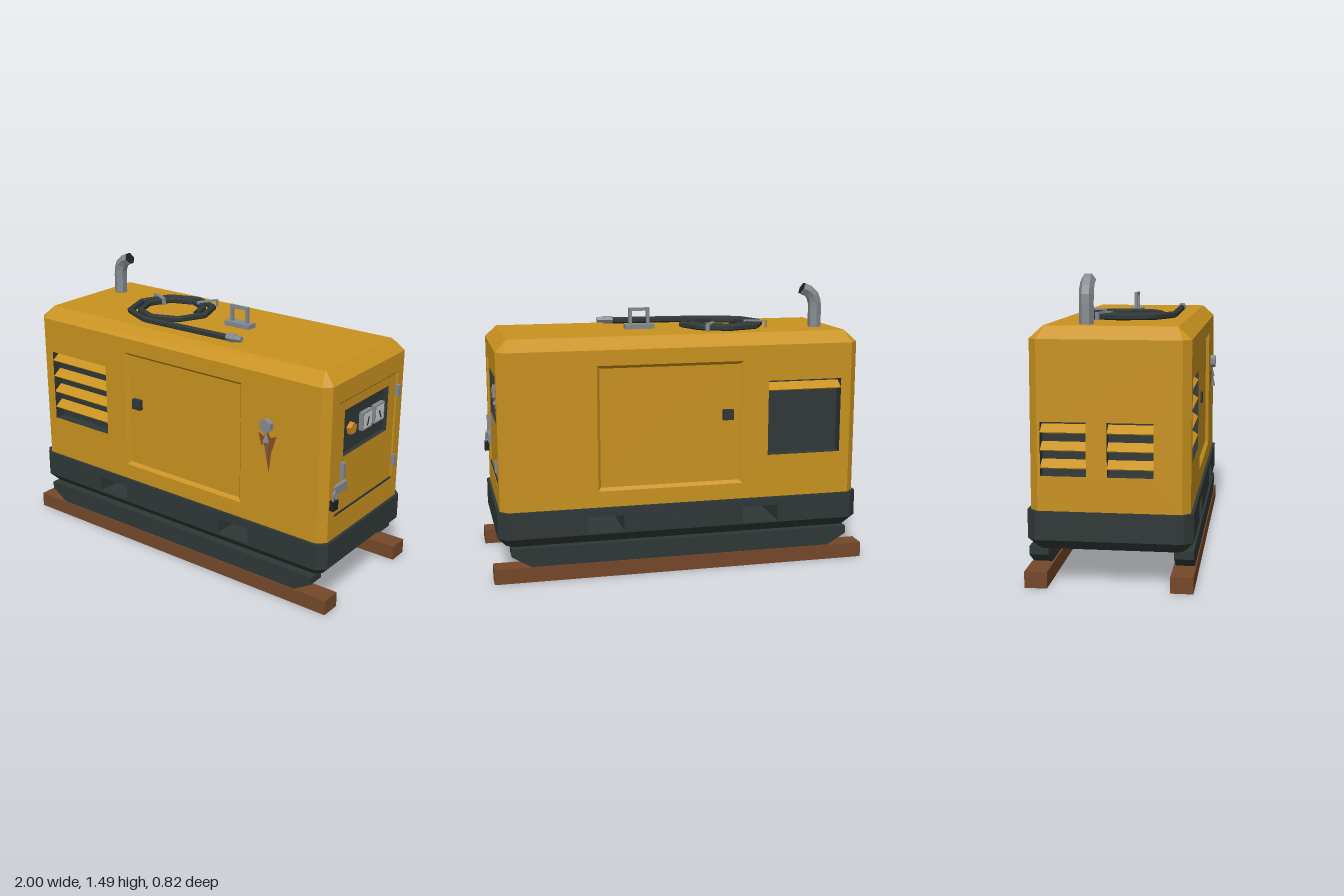
import * as THREE from 'three';

const mat = (name, color, flatShading = true) => {
  const m = new THREE.MeshStandardMaterial({ color });
  m.name = name;
  m.flatShading = flatShading;
  m.side = THREE.DoubleSide;
  return m;
};

export function createModel() {
  const yellow = mat('yellow paint', 0xc9921f), dark = mat('dark steel', 0x2f3837);
  const grey = mat('bare metal', 0x858b90), wood = mat('wood', 0x744829);
  const pale = mat('gauge face', 0xc9cdcb), rust = mat('rust', 0x854f2b);
  const black = mat('black', 0x1d2224), amber = mat('amber knob', 0xd08a1c);

  const model = new THREE.Group();
  const group = (name, parent = model) => {
    const g = new THREE.Group();
    g.name = name;
    parent.add(g);
    return g;
  };
  const add = (parent, name, geo, material, x = 0, y = 0, z = 0) => {
    const m = new THREE.Mesh(geo, material);
    m.name = name;
    m.position.set(x, y, z);
    parent.add(m);
    return m;
  };
  const box = (parent, name, material, w, h, d, x, y, z) =>
    add(parent, name, new THREE.BoxGeometry(w, h, d), material, x, y, z);
  const trianglesOf = (pts) => {
    const g = new THREE.BufferGeometry();
    g.setAttribute('position', new THREE.Float32BufferAttribute(pts.flat(), 3));
    g.computeVertexNormals();
    return g;
  };
  const quad = (a, b, c, d) => [a, b, c, a, c, d];

  // Rectangle with cut corners at height y; even edges are the flat sides
  const ring = (X, Z, c, y) => [[c - X, Z], [X - c, Z], [X, Z - c], [X, c - Z],
    [X - c, -Z], [c - X, -Z], [-X, c - Z], [-X, Z - c]].map(([x, z]) => [x, y, z]);
  const band = (a, b, edges) => edges.flatMap((i) => {
    const j = (i + 1) % 8;
    return quad(a[i], a[j], b[j], b[i]);
  });
  const cap = (r, up) => [1, 2, 3, 4, 5, 6].flatMap((i) => up ? [r[0], r[i], r[i + 1]] : [r[0], r[i + 1], r[i]]);
  const ALL = [0, 1, 2, 3, 4, 5, 6, 7];

  // Flat sheet [x0, x1, y0, y1] with rectangular holes
  const sheet = (parent, name, [x0, x1, y0, y1], z, material, holes = []) => {
    const path = (P, a, b, c, d) => new P([[a, c], [b, c], [b, d], [a, d]].map((p) => new THREE.Vector2(...p)));
    const shape = path(THREE.Shape, x0, x1, y0, y1);
    holes.forEach((h) => shape.holes.push(path(THREE.Path, ...h)));
    add(parent, name, new THREE.ShapeGeometry(shape), material, 0, 0, z);
  };
  // Sunken area: four walls and an optional floor
  const recess = (parent, name, r, z, depth, bevel, walls, floor, holes) => {
    const corners = ([x0, x1, y0, y1], k, zz) =>
      [[x0 + k, y0 + k, zz], [x1 - k, y0 + k, zz], [x1 - k, y1 - k, zz], [x0 + k, y1 - k, zz]];
    const o = corners(r, 0, z), n = corners(r, bevel, z - depth);
    add(parent, name + ' edge', trianglesOf([0, 1, 2, 3].flatMap((i) => {
      const j = (i + 1) % 4;
      return quad(o[i], o[j], n[j], n[i]);
    })), walls);
    if (floor) {
      sheet(parent, name, [r[0] + bevel, r[1] - bevel, r[2] + bevel, r[3] - bevel], z - depth, floor, holes);
    }
  };
  const vent = (parent, r, slats, pitch, top) => {
    recess(parent, 'vent', r, 0, 0.06, 0, dark, dark);
    for (let i = 0; i < slats; i++) {
      box(parent, 'louver', yellow, r[1] - r[0], 0.006, 0.06, (r[0] + r[1]) / 2, top - i * pitch, -0.027).rotation.x = 0.61;
    }
  };

  // Canopy shell
  const canopy = group('canopy');
  const lower = ring(0.96, 0.385, 0.04, 0.37), eave = ring(0.96, 0.385, 0.04, 1.19);
  const roof = ring(0.9, 0.32, 0.004, 1.25);
  add(canopy, 'corner posts', trianglesOf(band(lower, eave, [1, 3, 5, 7])), yellow);
  add(canopy, 'roof', trianglesOf([...band(eave, roof, ALL), ...cap(roof, true)]), yellow);

  const side = (name, x, z, turn) => {
    const g = group(name, canopy);
    g.position.set(x, 0, z);
    g.rotation.y = turn;
    return g;
  };
  // Long sides, each with a bevelled door and a vent
  for (const s of [1, -1]) {
    const g = side(s > 0 ? 'front side' : 'back side', 0, 0.385 * s, s > 0 ? 0 : Math.PI);
    const span = (a, b, c, d) => (s > 0 ? [a, b, c, d] : [-b, -a, c, d]);
    const door = span(-0.32, 0.455, 0.455, 1.11), opening = span(-0.865, -0.46, 0.6, 1);
    sheet(g, 'side panel', [-0.92, 0.92, 0.37, 1.19], 0, yellow, [door, opening]);
    recess(g, 'side door', door, 0, 0.018, 0.016, yellow, yellow);
    box(g, 'door latch', dark, 0.055, 0.055, 0.025, -0.24 * s, 0.828, -0.006);
    vent(g, opening, s > 0 ? 4 : 1, 0.094, 0.965);
  }

  // Left-hand air inlets on the plain end
  const inletEnd = side('inlet end', -0.96, 0, -Math.PI / 2);
  const inlets = [[-0.33, -0.11, 0.54, 0.8], [-0.01, 0.21, 0.54, 0.8]];
  sheet(inletEnd, 'end panel', [-0.345, 0.345, 0.37, 1.19], 0, yellow, inlets);
  inlets.forEach((r) => vent(inletEnd, r, 3, 0.085, 0.765));

  // Control end: door, instrument window and lock
  const end = side('control end', 0.96, 0, Math.PI / 2);
  const endDoor = [-0.287, 0.287, 0.486, 1.09], win = [-0.213, 0.215, 0.787, 1.032];
  sheet(end, 'end panel', [-0.345, 0.345, 0.37, 1.19], 0, yellow, [endDoor]);
  recess(end, 'control door', endDoor, 0, 0.01, 0, yellow, yellow, [win]);
  recess(end, 'instrument panel', win, -0.01, 0.025, 0, dark, dark);
  box(end, 'door gap', dark, 0.574, 0.01, 0.006, 0, 0.491, -0.006);
  box(end, 'door gap', dark, 0.574, 0.005, 0.006, 0, 1.088, -0.006);
  for (const [x, tilt] of [[0.018, -0.3], [0.138, 0.45]]) {
    box(end, 'gauge', grey, 0.095, 0.096, 0.024, x, 0.909, -0.023);
    box(end, 'gauge face', pale, 0.077, 0.078, 0.004, x, 0.909, -0.011);
    box(end, 'gauge needle', black, 0.007, 0.045, 0.003, x, 0.902, -0.008).rotation.z = tilt;
  }
  add(end, 'knob', new THREE.CylinderGeometry(0.033, 0.033, 0.025, 5).rotateX(Math.PI / 2).rotateZ(Math.PI),
    amber, -0.118, 0.905, -0.023);
  for (const y of [0.988, 0.595]) box(end, 'hinge', grey, 0.022, 0.062, 0.02, 0.291, y, 0.004);
  box(end, 'door handle', grey, 0.02, 0.085, 0.022, -0.228, 0.722, 0.002);
  box(end, 'hasp', grey, 0.115, 0.047, 0.018, -0.253, 0.637, 0.002);
  box(end, 'padlock', black, 0.044, 0.052, 0.024, -0.316, 0.571, 0.012);
  add(end, 'padlock shackle', new THREE.TorusGeometry(0.015, 0.005, 5, 6, Math.PI), grey, -0.316, 0.63, 0.016);
  for (const x of [-0.331, -0.301]) box(end, 'shackle leg', grey, 0.009, 0.04, 0.009, x, 0.612, 0.016);

  // Leaking drain cap with rust streaks
  const drain = group('drain cap');
  drain.position.set(0.62, 0.93, 0.385);
  add(drain, 'cap', new THREE.CylinderGeometry(0.037, 0.037, 0.03, 6).rotateX(Math.PI / 2), grey, 0, 0, 0.015);
  const streak = new THREE.Shape([[-0.055, -0.05], [-0.033, -0.12], [-0.02, -0.1], [0.012, -0.256],
    [0.027, -0.13], [0.033, -0.12], [0.055, -0.05], [0.02, -0.065], [0, -0.03], [-0.02, -0.065]]
    .map((p) => new THREE.Vector2(...p)));
  add(drain, 'rust streaks', new THREE.ShapeGeometry(streak), rust, 0, 0, 0.003);
  add(drain, 'twisted tag', trianglesOf([
    [0, -0.035, 0.012], [-0.014, -0.09, 0.026], [0.012, -0.095, 0.006],
    [0.004, -0.085, 0.015], [0.016, -0.15, 0.028], [-0.012, -0.155, 0.004]]), grey);

  // Base tray with through fork pockets
  const base = group('base');
  const b0 = ring(0.93, 0.355, 0.03, 0.18), b1 = ring(0.975, 0.4, 0.045, 0.23), b2 = ring(0.975, 0.4, 0.045, 0.37);
  add(base, 'tray', trianglesOf([...cap(b0, false), ...band(b0, b1, ALL),
    ...band(b1, b2, [1, 2, 3, 5, 6, 7]), ...cap(b2, true)]), dark);
  const pockets = [[-0.517, -0.322, 0.24, 0.325], [0.322, 0.517, 0.24, 0.325]];
  for (const s of [1, -1]) {
    const g = group('tray side', base);
    g.position.z = 0.4 * s;
    g.rotation.y = s > 0 ? 0 : Math.PI;
    sheet(g, 'tray wall', [-0.93, 0.93, 0.23, 0.37], 0, dark, pockets);
    if (s > 0) pockets.forEach((r) => recess(g, 'fork pocket', r, 0, 0.8, 0, dark, null));
    // Skid runner and timber beneath
    const runner = new THREE.Shape([[-0.81, 0.08], [0.81, 0.08], [0.91, 0.14], [0.91, 0.18], [-0.91, 0.18], [-0.91, 0.14]]
      .map((p) => new THREE.Vector2(...p)));
    add(base, 'runner', new THREE.ExtrudeGeometry(runner, { depth: 0.094, bevelEnabled: false }), dark, 0, 0, 0.352 * s - 0.047);
    box(base, 'timber', wood, 2, 0.08, 0.11, 0, 0.04, 0.35 * s);
  }

  // Exhaust stack
  const polyline = (pts) => {
    const path = new THREE.CurvePath();
    for (let i = 1; i < pts.length; i++) path.add(new THREE.LineCurve3(pts[i - 1], pts[i]));
    return path;
  };
  const exhaust = group('exhaust');
  const bend = new THREE.CatmullRomCurve3([[1.24, -0.8], [1.32, -0.8], [1.39, -0.797], [1.435, -0.775], [1.46, -0.725]]
    .map(([y, x]) => new THREE.Vector3(x, y, -0.13)));
  add(exhaust, 'exhaust pipe', new THREE.TubeGeometry(bend, 7, 0.036, 6), grey);
  const mouth = add(exhaust, 'exhaust mouth', new THREE.CircleGeometry(0.034, 6), black, -0.724, 1.4605, -0.13);
  mouth.lookAt(mouth.position.clone().add(bend.getTangent(1)));

  // Lifting eye
  const eye = group('lifting eye');
  box(eye, 'eye plate', grey, 0.158, 0.025, 0.064, 0.158, 1.262, -0.006);
  for (const x of [0.109, 0.206]) box(eye, 'eye post', grey, 0.017, 0.09, 0.017, x, 1.316, -0.004);
  box(eye, 'eye bar', grey, 0.114, 0.017, 0.017, 0.1575, 1.354, -0.004);

  // Coiled hose, its nozzle and two clips
  const hose = group('hose');
  const coil = [];
  for (let i = 0; i <= 14; i++) {
    const a = i * Math.PI / 4, r = 0.155 + 0.055 * i / 8;
    coil.push(new THREE.Vector3(-0.29 + r * Math.cos(a), 1.266, -0.005 - r * Math.sin(a)));
  }
  coil.push(new THREE.Vector3(0.27, 1.27, 0.238));
  add(hose, 'coil', new THREE.TubeGeometry(polyline(coil), 120, 0.018, 6), dark);
  add(hose, 'nozzle collar', new THREE.CylinderGeometry(0.023, 0.023, 0.05, 6).rotateZ(Math.PI / 2), grey, 0.285, 1.274, 0.238);
  add(hose, 'nozzle', new THREE.CylinderGeometry(0.02, 0.016, 0.045, 6).rotateZ(Math.PI / 2), grey, 0.325, 1.275, 0.238);
  for (const a of [2.66, 1.08]) {
    const clip = group('hose clip', hose);
    clip.position.set(-0.29, 1.25, 0);
    clip.rotation.y = a;
    box(clip, 'clip bar', grey, 0.125, 0.008, 0.02, 0.205, 0.036, 0);
    for (const x of [0.147, 0.263]) box(clip, 'clip leg', grey, 0.009, 0.036, 0.02, x, 0.018, 0);
  }
  return model;
}
